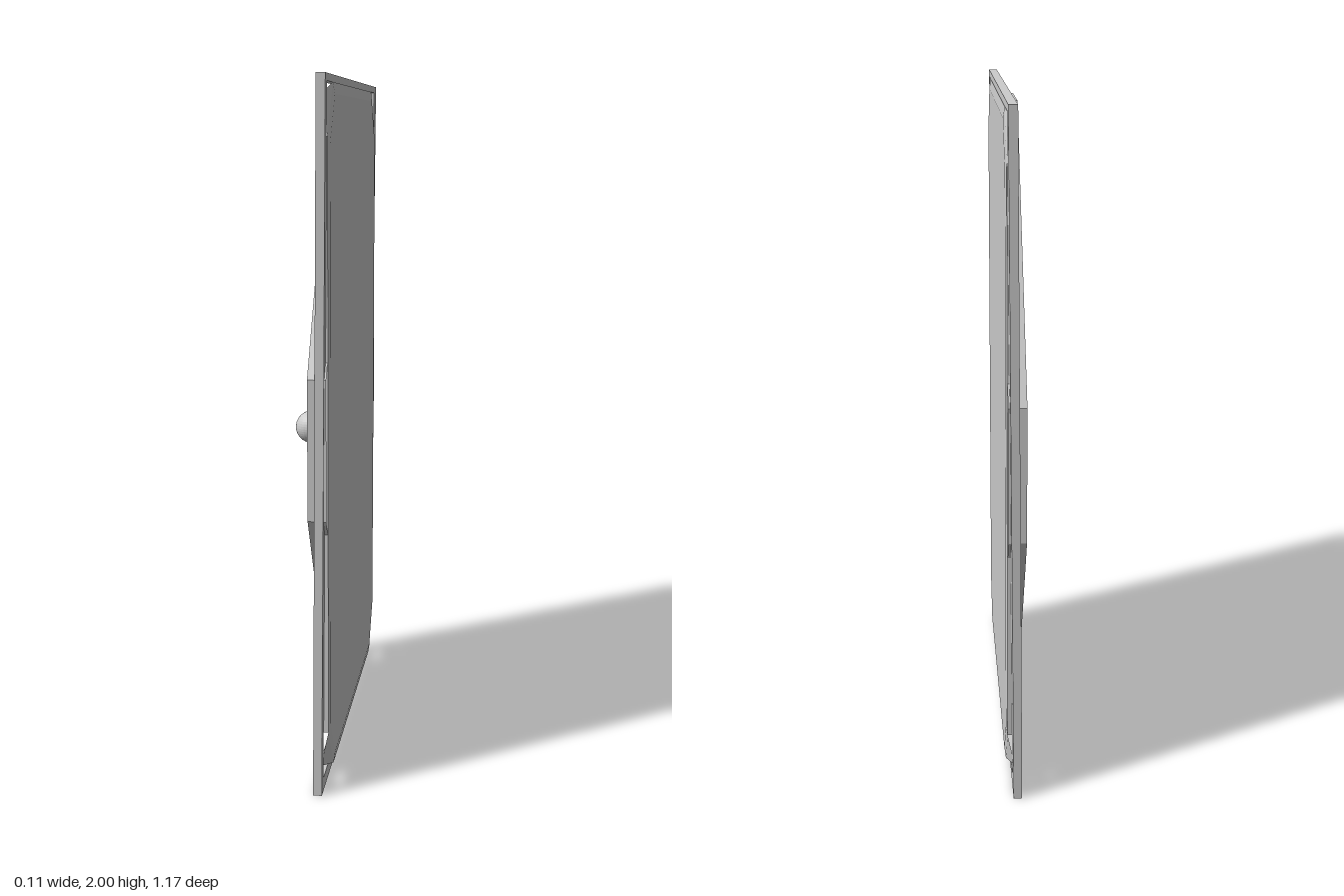
import * as THREE from 'three';

const grey = new THREE.MeshStandardMaterial({ color: 0xcccccc, side: THREE.DoubleSide, flatShading: true });
grey.name = 'plainGrey';
const smoothGrey = grey; // knob uses enough facets to read as round

// Door is drawn upright in the local XY plane, its outer face towards local +z.
const toShape = (pts) => new THREE.Shape(pts.map(([x, y]) => new THREE.Vector2(x, y)));

// Surface from listed triangles
function surface(positions) {
  const g = new THREE.BufferGeometry();
  g.setAttribute('position', new THREE.Float32BufferAttribute(positions, 3));
  g.computeVertexNormals();
  return g;
}

// Wall between outline a at depth za and outline b at depth zb; step 2 skips every other edge
function wall(a, za, b, zb, step = 1) {
  const out = [];
  for (let i = 0; i < a.length; i += step) {
    const j = (i + 1) % a.length;
    const p = [...a[i], za], q = [...a[j], za], r = [...b[j], zb], s = [...b[i], zb];
    out.push(...p, ...q, ...r, ...p, ...r, ...s);
  }
  return surface(out);
}

// Rectangle with its corners cut by cx and cy, counter-clockwise; even edges are the straight sides
function cutRect(x0, x1, y0, y1, cx, cy) {
  return [
    [x0 + cx, y0], [x1 - cx, y0], [x1, y0 + cy], [x1, y1 - cy],
    [x1 - cx, y1], [x0 + cx, y1], [x0, y1 - cy], [x0, y0 + cy],
  ];
}

export function createModel() {
  const model = new THREE.Group();
  const door = new THREE.Group();
  door.name = 'door';
  door.rotation.y = Math.PI / 2;
  model.add(door);

  const add = (name, geometry, material = grey) => {
    const mesh = new THREE.Mesh(geometry, material);
    mesh.name = name;
    door.add(mesh);
    return mesh;
  };

  const X0 = -0.554, X1 = 0.53, Y0 = 0.04, Y1 = 1.98;

  // Slightly leaning rectangular frame
  const frameShape = toShape([[-0.585, 0], [0.585, 0], [0.585, 2], [-0.585, 2]]);
  frameShape.holes.push(new THREE.Path([[X0, Y0], [X0, Y1], [X1, Y1], [X1, Y0]].map(([x, y]) => new THREE.Vector2(x, y))));
  const frame = add('frame', new THREE.ExtrudeGeometry(frameShape, { depth: 0.025, bevelEnabled: false }));
  frame.position.z = 0.006;
  frame.rotation.x = 0.007;

  // Thin raised panel with cut corners and a shallow bevel
  const rim = cutRect(X0, X1, Y0, Y1, 0.1, 0.14);
  const inner = cutRect(X0 + 0.02, X1 - 0.02, Y0 + 0.03, Y1 - 0.03, 0.09, 0.13);
  add('panelFace', new THREE.ShapeGeometry(toShape(inner))).position.z = 0.05;
  add('panelBevel', wall(rim, 0.046, inner, 0.05));
  add('panelSkirt', wall(rim, 0.02, rim, 0.046, 2));

  // Corner flaps folded back towards the frame, leaving small openings
  const flaps = [];
  for (const [x, sx] of [[X0, 1], [X1, -1]]) {
    for (const [y, sy] of [[Y0, 1], [Y1, -1]]) {
      const tri = [[x + sx * 0.1, y, 0.046], [x, y + sy * 0.14, 0.046], [x, y + sy * 0.036, 0.024]];
      if (sx * sy > 0) tri.reverse();
      flaps.push(...tri.flat());
    }
  }
  add('cornerFlaps', surface(flaps));

  // Eight-sided band standing on the inner face
  const band = cutRect(-0.58, 0.565, 0.042, 1.965, 0.455, 0.765);
  add('octagonBand', wall(band, -0.007, band, 0.045));

  // Round knob
  const knob = add('knob', new THREE.SphereGeometry(0.045, 32, 20), smoothGrey);
  knob.position.set(-0.475, 1.05, -0.01);

  return model;
}
